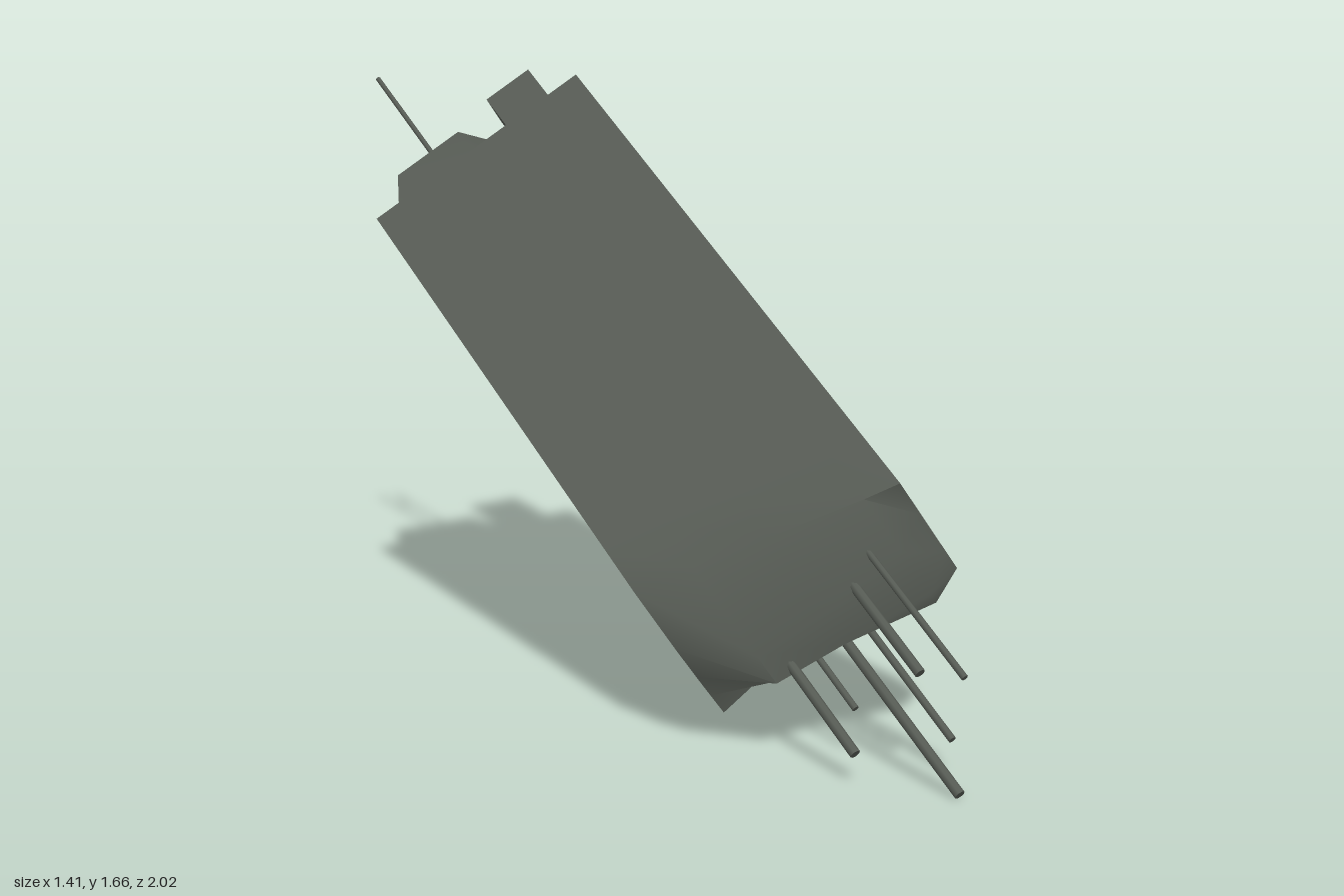
import * as THREE from 'three';
import { toCreasedNormals } from 'three/addons/utils/BufferGeometryUtils.js';

const BACK = -1.37, TOP = 0.661, BOTTOM = 0.36;

// Closed solid lofted along x through equal-length [y, z] loops
function loft(stations) {
  const pos = [], n = stations[0].loop.length;
  const pt = (i, j) => [stations[i].x, ...stations[i].loop[j % n]];
  const tri = (a, b, c) => pos.push(...a, ...b, ...c);
  const last = stations.length - 1;
  for (let i = 0; i < last; i++) {
    for (let j = 0; j < n; j++) {
      tri(pt(i, j), pt(i, j + 1), pt(i + 1, j + 1));
      tri(pt(i, j), pt(i + 1, j + 1), pt(i + 1, j));
    }
  }
  for (let j = 1; j < n - 1; j++) {
    tri(pt(0, 0), pt(0, j + 1), pt(0, j));
    tri(pt(last, 0), pt(last, j), pt(last, j + 1));
  }
  const geo = new THREE.BufferGeometry();
  geo.setAttribute('position', new THREE.Float32BufferAttribute(pos, 3));
  return toCreasedNormals(geo, 0.75);
}

export function createModel() {
  const hullGrey = new THREE.MeshStandardMaterial({ color: 0x565b54 });
  hullGrey.name = 'hullGrey';

  const model = new THREE.Group();
  model.name = 'spacecraft';
  // The craft dives forward and rolls to one side
  const craft = new THREE.Group();
  craft.name = 'tiltedCraft';
  craft.rotation.set(Math.PI / 4, 0, THREE.MathUtils.degToRad(35), 'ZYX');
  model.add(craft);

  const add = (name, geo) => {
    const mesh = new THREE.Mesh(geo, hullGrey);
    mesh.name = name;
    craft.add(mesh);
    return mesh;
  };

  // Rod along z between two depths
  const rod = (name, x, y, z0, z1, r) => {
    const geo = new THREE.CylinderGeometry(r, r, Math.abs(z1 - z0), 8);
    geo.rotateX(Math.PI / 2);
    add(name, geo).position.set(x, y, (z0 + z1) / 2);
  };

  // Long box hull with a rounded, slanting nose: [x, top z, nose points, bottom z]
  const sections = [
    [0.142, 0.083, [[0.575, 0.237], [0.5, 0.30], [0.43, 0.335]], 0.365],
    [0.30, 0.12, [[0.56, 0.38], [0.51, 0.45], [0.43, 0.41]], 0.345],
    [0.50, 0.18, [[0.56, 0.39], [0.48, 0.46], [0.41, 0.41]], 0.36],
    [0.75, 0.25, [[0.57, 0.39], [0.46, 0.48], [0.42, 0.49]], 0.42],
    [0.847, 0.273, [[0.57, 0.335], [0.46, 0.41], [0.41, 0.443]], 0.39],
  ];
  add('hull', loft(sections.map(([x, topZ, nose, botZ]) => ({
    x,
    loop: [[TOP, BACK], [TOP, topZ - 0.15], [TOP, topZ], ...nose, [BOTTOM, botZ], [BOTTOM, BACK]],
  }))));

  // Square block on the stern
  add('sternBlock', new THREE.BoxGeometry(0.152, 0.133, 0.26)).position.set(0.68, 0.465, -1.46);

  // Tapered stern housing
  const flat = (x, y0, y1, z) => ({ x, loop: [[y1, z], [y1, BACK + 0.01], [y0, BACK + 0.01], [y0, z]] });
  add('sternHousing', loft([
    flat(0.211, 0.385, 0.634, BACK - 0.005),
    { x: 0.262, loop: [[0.613, -1.49], [0.634, BACK], [0.385, BACK], [0.40, -1.48]] },
    { x: 0.478, loop: [[0.613, -1.49], [0.634, BACK], [0.385, BACK], [0.40, -1.48]] },
    flat(0.541, 0.385, 0.634, BACK - 0.005),
  ]));

  // Twin stern aerials joined by a crossbar
  for (const y of [0.576, 0.44]) rod('sternAerial', 0.38, y, -1.46, -1.86, 0.007);
  add('aerialCrossbar', new THREE.CylinderGeometry(0.007, 0.007, 0.136, 8)).position.set(0.38, 0.508, -1.73);

  // Bow aerials: [x, y, tip z, radius]
  const bow = [
    [0.357, 0.507, 0.723, 0.014],
    [0.424, 0.413, 0.591, 0.009],
    [0.505, 0.465, 0.949, 0.014],
    [0.573, 0.410, 0.806, 0.010],
    [0.603, 0.558, 0.672, 0.014],
    [0.682, 0.584, 0.759, 0.009],
  ];
  for (const [x, y, tip, r] of bow) rod('bowAerial', x, y, 0.25, tip, r);

  return model;
}
